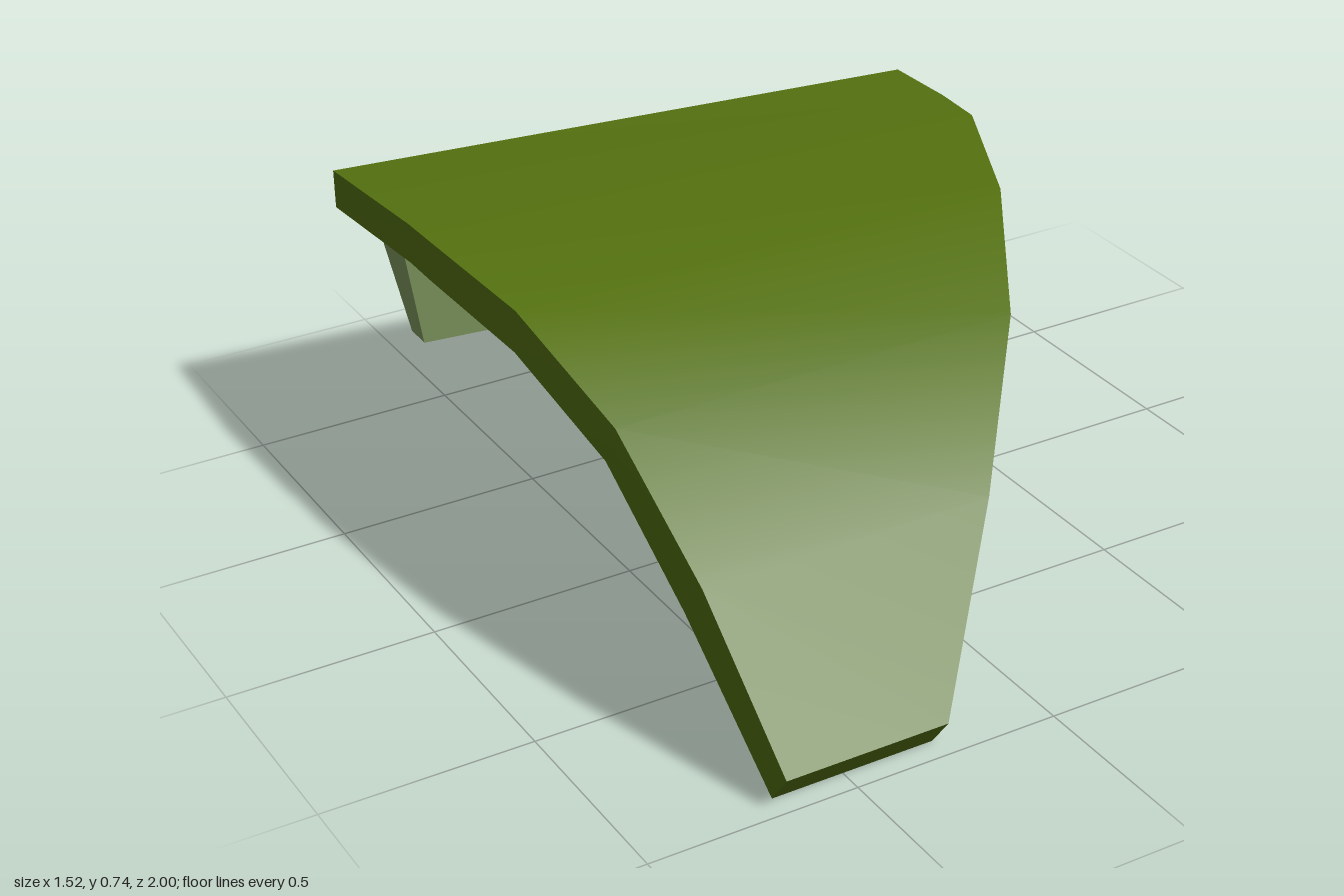
import * as THREE from 'three';
import { toCreasedNormals } from 'three/addons/utils/BufferGeometryUtils.js';

// Skin a loop of four-cornered sections (each: upper left, upper right, lower right, lower left),
// ordered from back to front, and close both ends.
function loft(sections) {
  const index = [];
  const quad = (a, b, c, d) => index.push(a, b, c, a, c, d);
  for (let i = 0; i < sections.length - 1; i++) {
    for (let j = 0; j < 4; j++) {
      const k = (j + 1) % 4;
      quad(i * 4 + j, i * 4 + 4 + j, i * 4 + 4 + k, i * 4 + k);
    }
  }
  const e = (sections.length - 1) * 4;
  quad(0, 1, 2, 3);
  quad(e + 3, e + 2, e + 1, e);
  const g = new THREE.BufferGeometry();
  g.setAttribute('position', new THREE.Float32BufferAttribute(sections.flat(2), 3));
  g.setIndex(index);
  return toCreasedNormals(g, 0.7);
}

export function createModel() {
  const model = new THREE.Group();
  const green = new THREE.MeshStandardMaterial({ name: 'olive green', color: 0x54710f });
  const pale = new THREE.MeshStandardMaterial({ name: 'pale green', color: 0x829c62 });

  // Curved plate: upper left, upper right, lower right, lower left
  const plate = new THREE.Mesh(loft([
    [[-0.755, 0.695, -1], [0.755, 0.7, -0.81], [0.755, 0.605, -0.81], [-0.755, 0.597, -1]],
    [[-0.76, 0.735, -0.55], [0.757, 0.703, -0.6], [0.757, 0.605, -0.6], [-0.76, 0.635, -0.55]],
    [[-0.757, 0.734, -0.45], [0.745, 0.706, -0.45], [0.745, 0.607, -0.45], [-0.759, 0.633, -0.45]],
    [[-0.74, 0.727, -0.04], [0.55, 0.711, -0.04], [0.54, 0.611, -0.04], [-0.742, 0.62, -0.05]],
    [[-0.715, 0.62, 0.37], [0.3, 0.62, 0.37], [0.3, 0.528, 0.34], [-0.715, 0.516, 0.32]],
    [[-0.695, 0.39, 0.7], [0.03, 0.385, 0.69], [0.03, 0.303, 0.65], [-0.695, 0.29, 0.62]],
    [[-0.673, 0.08, 1], [-0.275, 0.08, 1], [-0.275, 0, 0.94], [-0.673, 0, 0.94]],
  ]), green);
  plate.name = 'curvedPlate';
  model.add(plate);

  // Tapered bar under the back, parallel to the back edge
  const bar = new THREE.Mesh(loft([
    [[-0.757, 0.635, -0.725], [0.753, 0.61, -0.6], [0.705, 0.36, -0.57], [-0.71, 0.382, -0.69]],
    [[-0.757, 0.635, -0.595], [0.753, 0.61, -0.47], [0.715, 0.357, -0.5], [-0.71, 0.38, -0.62]],
  ]), pale);
  bar.name = 'supportBar';
  model.add(bar);

  return model;
}
